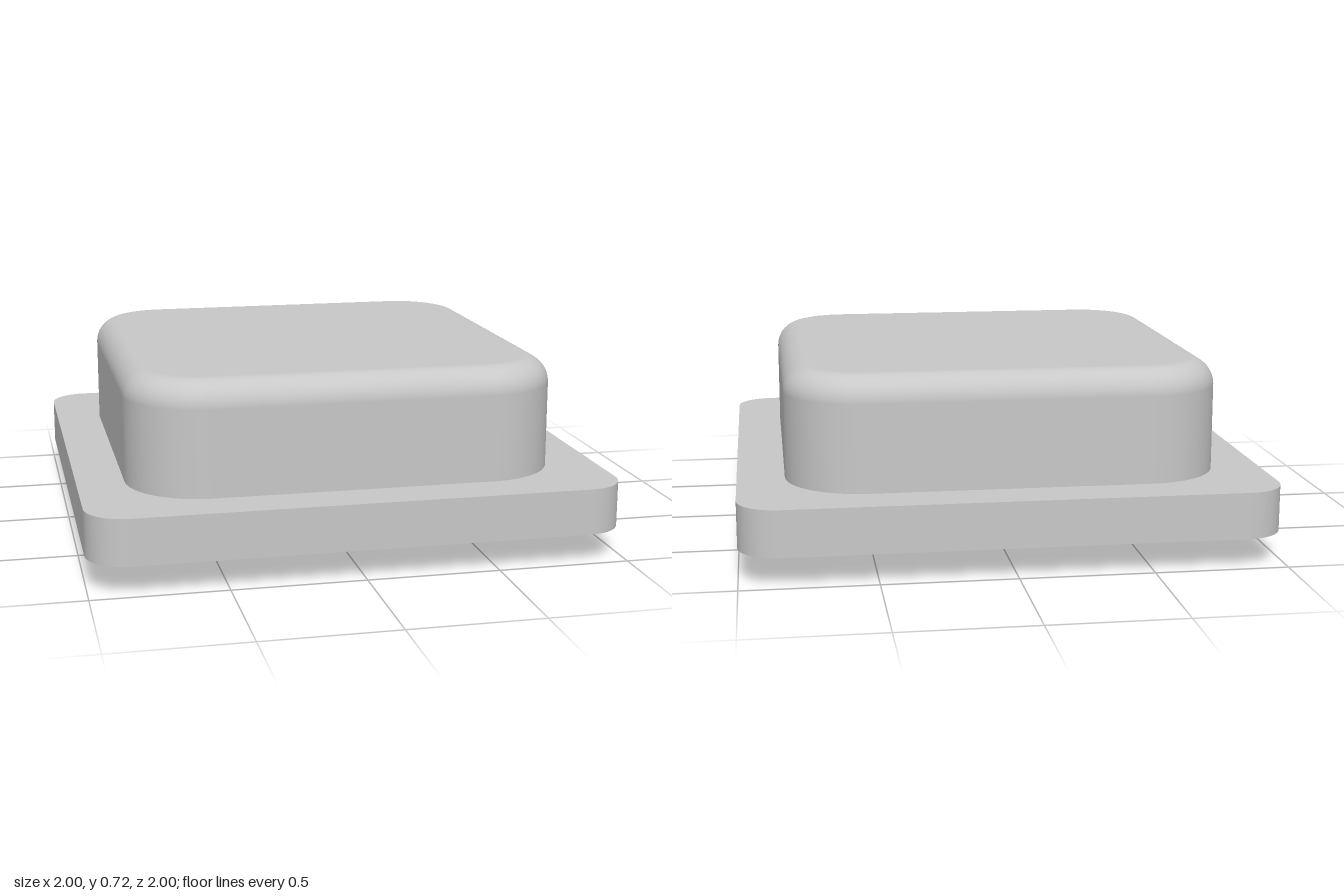
import * as THREE from 'three';

const CORNER_STEPS = 12, FILLET_STEPS = 10;

// Closed square pad with rounded corners and an optional fillet round its top edge.
function roundedPad(half, radius, fillet, y0, y1) {
  const core = half - radius, up = Math.PI / 2;
  // Each row: corner centre, radius about it, height, tilt of the normal.
  const rows = [[0, 0, y0, -up], [core, radius, y0, -up], [core, radius, y0, 0]];
  if (fillet > 0) {
    for (let i = 0; i <= FILLET_STEPS; i++) {
      const t = up * i / FILLET_STEPS;
      rows.push([core, radius - fillet + fillet * Math.cos(t), y1 - fillet + fillet * Math.sin(t), t]);
    }
  } else {
    rows.push([core, radius, y1, 0], [core, radius, y1, up]);
  }
  rows.push([0, 0, y1, up]);

  const positions = [], normals = [], index = [];
  const count = 4 * (CORNER_STEPS + 1);
  for (const [c, r, y, t] of rows) {
    for (let q = 0; q < 4; q++) {
      const mid = (q + 0.5) * up;
      const sx = Math.sign(Math.cos(mid)), sz = Math.sign(Math.sin(mid));
      for (let i = 0; i <= CORNER_STEPS; i++) {
        const a = up * (q + i / CORNER_STEPS);
        positions.push(sx * c + r * Math.cos(a), y, sz * c + r * Math.sin(a));
        normals.push(Math.cos(a) * Math.cos(t), Math.sin(t), Math.sin(a) * Math.cos(t));
      }
    }
  }
  const last = rows.length - 1;
  for (let j = 0; j < last; j++) {
    const [c0, r0, h0] = rows[j], [c1, r1, h1] = rows[j + 1];
    if (c0 === c1 && r0 === r1 && h0 === h1) continue; // sharp edge
    for (let i = 0; i < count; i++) {
      const n = (i + 1) % count;
      const a = j * count + i, b = j * count + n;
      const d = a + count, e = b + count;
      if (j > 0) index.push(a, d, b);
      if (j < last - 1) index.push(b, d, e);
      else continue;
    }
  }
  const geometry = new THREE.BufferGeometry();
  geometry.setAttribute('position', new THREE.Float32BufferAttribute(positions, 3));
  geometry.setAttribute('normal', new THREE.Float32BufferAttribute(normals, 3));
  geometry.setIndex(index);
  return geometry;
}

export function createModel() {
  const group = new THREE.Group();
  group.name = 'squareButton';
  const grey = new THREE.MeshStandardMaterial({ color: 0xc8c8c8 });
  grey.name = 'light grey';

  const add = (name, geometry) => {
    const mesh = new THREE.Mesh(geometry, grey);
    mesh.name = name;
    group.add(mesh);
    return mesh;
  };

  // Raised cap with softly rounded top edge
  add('cap', roundedPad(0.82, 0.29, 0.1, 0.287, 0.716));
  // Wide base flange
  add('flange', roundedPad(1, 0.15, 0, 0.113, 0.287));
  // Round peg underneath
  add('peg', new THREE.CylinderGeometry(0.213, 0.213, 0.113, 64)).position.y = 0.0565;

  return group;
}
